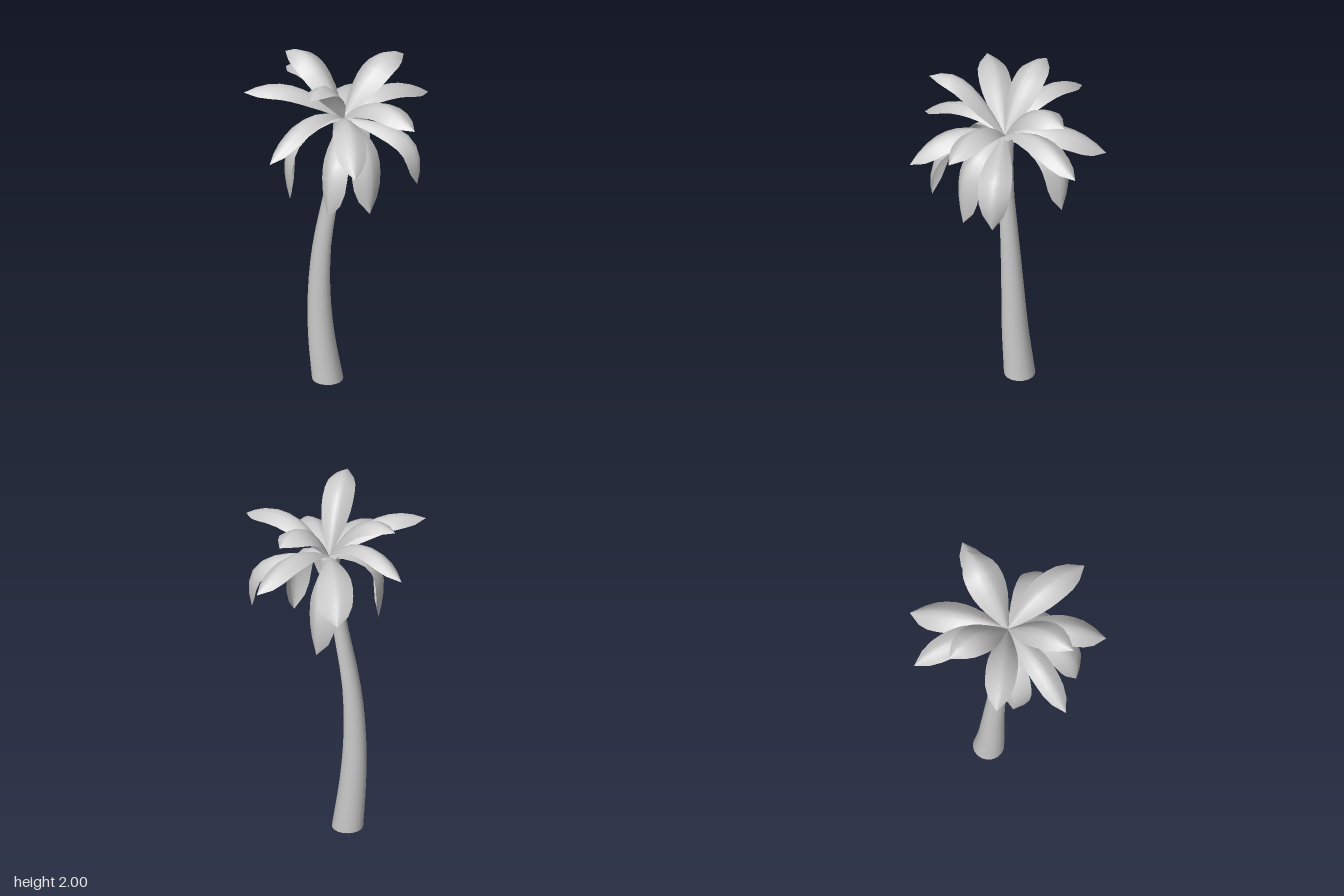
import * as THREE from 'three';

const material = new THREE.MeshStandardMaterial({ color: 0xcccccc });
const leafMaterial = new THREE.MeshStandardMaterial({ color: 0xcccccc, side: THREE.DoubleSide });

const CROWN = new THREE.Vector3(-0.012, 1.66, 0.02);

// Trunk stations: x, y, z, radius
const TRUNK = [
  [-0.03, 0, -0.105, 0.086],
  [-0.07, 0.28, -0.107, 0.073],
  [-0.087, 0.55, -0.104, 0.062],
  [-0.084, 0.85, -0.082, 0.052],
  [-0.053, 1.2, -0.03, 0.043],
  [-0.028, 1.45, 0.006, 0.046],
  [-0.012, 1.66, 0.025, 0.055],
];

// Fronds: tip x, y, z, how far out and how high the bend is, roll in radians, width factor
const UPPER = [
  [-0.12, 1.93, -0.385, 0.5, 2.08, -0.05, 1.03],
  [0.42, 1.91, -0.03, 0.5, 2.08, 0, 1.17],
  [-0.38, 1.97, 0.245, 0.5, 2.11, 0.08, 0.93],
];
const MIDDLE = [
  [-0.01, 1.73, -0.545, 0.5, 1.99, -0.12, 0.82],
  [0.11, 1.77, 0.54, 0.5, 1.98, 0.1, 0.98],
  [-0.475, 1.83, -0.265, 0.5, 1.98, 0, 0.95],
  [0.345, 1.53, -0.405, 0.6, 1.8, 0.1, 1.07],
  [0.555, 1.65, 0.01, 0.5, 1.9, 0.05, 0.87],
  [-0.255, 1.56, 0.5, 0.6, 1.86, -0.05, 0.97],
  [-0.56, 1.575, 0.115, 0.5, 1.89, 0.08, 0.78],
];
const HANGING = [
  [0.255, 1.32, 0.35, 1.25, 1.72, 0, 1],
  [-0.295, 1.25, 0.3, 1.15, 1.7, 0.45, 0.95],
  [0.26, 1.22, -0.155, 1.3, 1.7, 0.5, 1.03],
  [-0.03, 1.2, 0.31, 1.3, 1.7, 0, 1],
  [-0.295, 1.2, -0.08, 1.45, 1.7, 0.35, 0.95],
];

// Half width of a blade from stem to tip
const WIDTHS = [0.01, 0.032, 0.056, 0.076, 0.088, 0.092, 0.09, 0.082, 0.058, 0.001];

function makeTrunk() {
  const path = new THREE.CatmullRomCurve3(TRUNK.map(([x, y, z]) => new THREE.Vector3(x, y, z)));
  const geometry = new THREE.CylinderGeometry(1, 1, 1, 18, 18);
  const pos = geometry.attributes.position;
  const last = TRUNK.length - 1;
  for (let i = 0; i < pos.count; i++) {
    const t = THREE.MathUtils.clamp(pos.getY(i) + 0.5, 0, 1);
    const k = Math.min(Math.floor(t * last), last - 1);
    const r = THREE.MathUtils.lerp(TRUNK[k][3], TRUNK[k + 1][3], t * last - k);
    const c = path.getPoint(t);
    pos.setXYZ(i, c.x + pos.getX(i) * r, c.y, c.z + pos.getZ(i) * r);
  }
  const trunk = new THREE.Mesh(geometry, material);
  trunk.name = 'trunk';
  return trunk;
}

// A pointed blade, folded along a bending midrib and rolled to one side
function makeFrond([x, y, z, out, bendY, roll, width]) {
  const tip = new THREE.Vector3(x, y, z);
  const bend = CROWN.clone().lerp(tip, out).setY(bendY);
  const midrib = new THREE.QuadraticBezierCurve3(CROWN, bend, tip);
  const level = new THREE.Vector3(z - CROWN.z, 0, CROWN.x - x).normalize();
  const rows = WIDTHS.length - 1, cols = 6;
  const positions = [], index = [];
  for (let i = 0; i <= rows; i++) {
    const p = midrib.getPointAt(i / rows);
    const tangent = midrib.getTangentAt(i / rows);
    const side = level.clone().applyAxisAngle(tangent, roll);
    const up = tangent.clone().cross(side);
    const w = WIDTHS[i] * width;
    for (let j = 0; j <= cols; j++) {
      const s = (j / cols) * 2 - 1;
      const v = p.clone()
        .addScaledVector(side, s * w)
        .addScaledVector(up, -0.6 * Math.abs(s) ** 1.4 * w);
      positions.push(v.x, v.y, v.z);
      if (i < rows && j < cols) {
        const a = i * (cols + 1) + j, b = a + cols + 1;
        index.push(a, b, a + 1, b, b + 1, a + 1);
      }
    }
  }
  const geometry = new THREE.BufferGeometry();
  geometry.setAttribute('position', new THREE.Float32BufferAttribute(positions, 3));
  geometry.setIndex(index);
  geometry.computeVertexNormals();
  return new THREE.Mesh(geometry, leafMaterial);
}

function makeTier(name, list) {
  const tier = new THREE.Group();
  tier.name = name + 'Fronds';
  list.forEach((data, i) => {
    const frond = makeFrond(data);
    frond.name = `${name}Frond${i + 1}`;
    tier.add(frond);
  });
  return tier;
}

export function createModel() {
  const palm = new THREE.Group();
  palm.name = 'palmTree';
  palm.add(
    makeTrunk(),
    makeTier('upper', UPPER),
    makeTier('middle', MIDDLE),
    makeTier('hanging', HANGING),
  );
  return palm;
}
